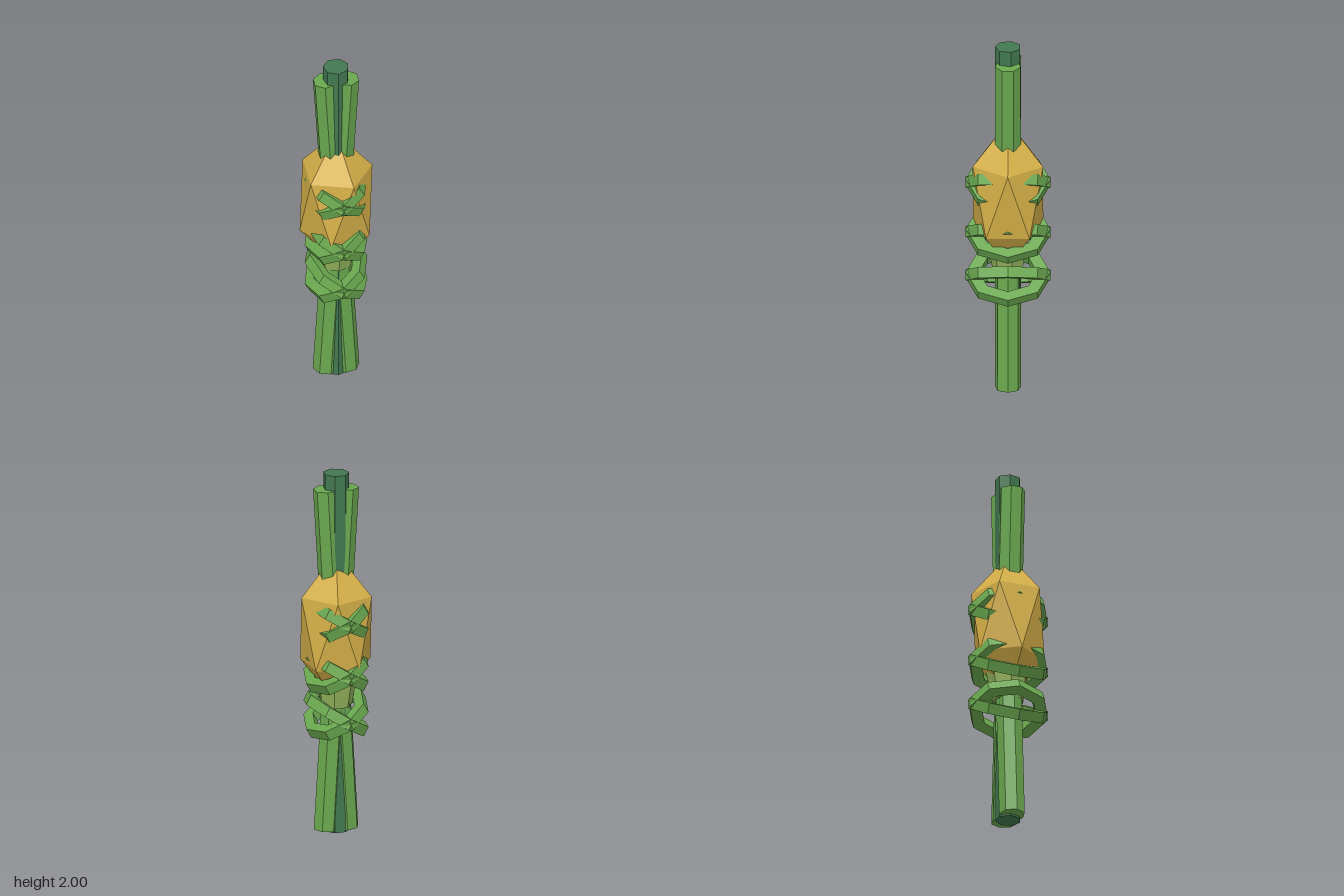
import * as THREE from 'three';
import { ConvexGeometry } from 'three/addons/geometries/ConvexGeometry.js';

const flat = (name, color) => {
  const m = new THREE.MeshStandardMaterial({ color, flatShading: true });
  m.name = name;
  return m;
};

export function createModel() {
  const root = new THREE.Group();
  root.name = 'boundStalks';
  const teal = flat('darkGreen', 0x427850);
  const green = flat('leafGreen', 0x6aa84f);
  const gold = flat('gold', 0xd4af48);
  const olive = flat('paleGreen', 0x93b45c);

  const add = (name, geometry, material, y) => {
    const mesh = new THREE.Mesh(geometry, material);
    mesh.name = name;
    mesh.position.y = y;
    root.add(mesh);
    return mesh;
  };

  // straight stalk in the middle
  add('centreStalk', new THREE.CylinderGeometry(0.07, 0.07, 2, 7), teal, 1);

  // two leaning stalks that cross in the middle, each with an edge facing inwards at the top
  for (const [name, turn] of [['leftStalk', 0], ['rightStalk', Math.PI]]) {
    const g = new THREE.CylinderGeometry(0.07, 0.07, 1.91, 7, 1, false, -Math.PI / 2);
    g.rotateZ(-0.059).rotateY(turn);
    add(name, g, green, 0.963);
  }

  // stretched twenty-sided bulb: two tips and two staggered rings of five
  const points = [new THREE.Vector3(0, 0.425, 0), new THREE.Vector3(0, -0.425, 0)];
  for (let i = 0; i < 5; i++) {
    const a = (i * Math.PI * 2) / 5;
    const x = 0.197 * Math.cos(a), z = 0.197 * Math.sin(a);
    points.push(new THREE.Vector3(x, 0.19, z), new THREE.Vector3(-x, -0.19, -z));
  }
  add('bulb', new ConvexGeometry(points), gold, 1.13);

  // pale collar under the bulb
  add('collar', new THREE.CylinderGeometry(0.122, 0.085, 0.2, 7), olive, 0.8);

  // three wraps, each made of two tilted bands that cross at front and back
  const section = [[0.155, -0.035], [0.225, -0.035], [0.225, 0.035], [0.155, 0.035], [0.155, -0.035]]
    .map(([r, y]) => new THREE.Vector2(r, y));
  [['lowerWrap', 0.65], ['middleWrap', 0.905], ['upperWrap', 1.2]].forEach(([name, y]) => {
    for (const side of [1, -1]) {
      const g = new THREE.LatheGeometry(section, 8);
      g.rotateZ((side * Math.PI) / 6).scale(0.8, 0.84, 1);
      add(name + (side > 0 ? 'Rising' : 'Falling'), g, green, y);
    }
  });

  return root;
}
